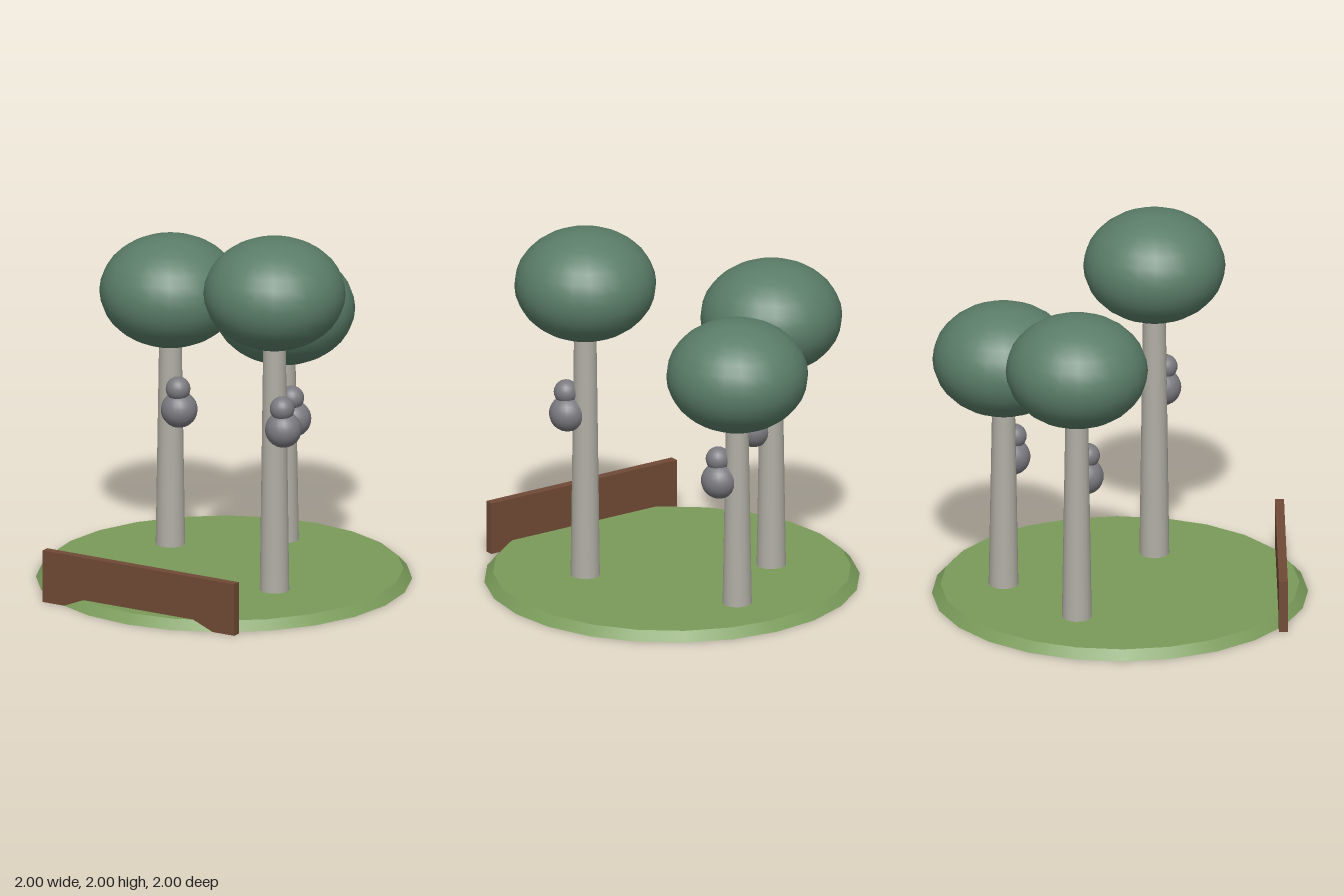
import * as THREE from 'three';

const material = (name, color) => {
  const m = new THREE.MeshStandardMaterial({ color });
  m.name = name;
  return m;
};

export function createModel() {
  const grass = material('grass green', 0x7a9b5a);
  const leaf = material('leaf green', 0x5a7d68);
  const bark = material('pale bark', 0xb0aea4);
  const fur = material('grey fur', 0x7a7a80);
  const wood = material('brown wood', 0x704a35);

  const model = new THREE.Group();
  model.name = 'treeEnclosure';
  const add = (parent, name, geometry, mat, x, y, z) => {
    const mesh = new THREE.Mesh(geometry, mat);
    mesh.name = name;
    mesh.position.set(x, y, z);
    parent.add(mesh);
    return mesh;
  };

  // Round lawn with a bevelled rim
  add(model, 'lawn', new THREE.CylinderGeometry(0.953, 1, 0.05, 24), grass, 0, 0.025, 0);

  // Low wooden wall at the front
  add(model, 'frontWall', new THREE.BoxGeometry(1.19, 0.286, 0.048), wood, 0, 0.143, 0.858);

  // Each tree: x, z, crown centre height, height of the animal's body
  const trees = [
    [-0.476, -0.238, 1.457, 0.82],
    [0, -0.619, 1.337, 0.744],
    [0.428, 0.19, 1.695, 0.965],
  ];
  const crownShape = new THREE.SphereGeometry(0.378, 24, 16).scale(1, 0.796, 1);
  const bodyShape = new THREE.SphereGeometry(0.098, 20, 14);
  const headShape = new THREE.SphereGeometry(0.066, 20, 14);

  for (const [x, z, crownY, bodyY] of trees) {
    const tree = new THREE.Group();
    tree.name = 'tree';
    tree.position.set(x, 0, z);
    model.add(tree);

    // Tapered trunk reaching into the crown
    const base = 0.01, top = crownY - 0.22;
    add(tree, 'trunk', new THREE.CylinderGeometry(0.06, 0.08, top - base, 16), bark, 0, (top + base) / 2, 0);
    add(tree, 'crown', crownShape, leaf, 0, crownY, 0);

    // Small animal clinging to the trunk
    const animal = new THREE.Group();
    animal.name = 'climbingAnimal';
    animal.position.set(0.083, bodyY, 0.047);
    tree.add(animal);
    add(animal, 'body', bodyShape, fur, 0, 0, 0);
    add(animal, 'head', headShape, fur, 0, 0.118, 0.012);
  }

  return model;
}
